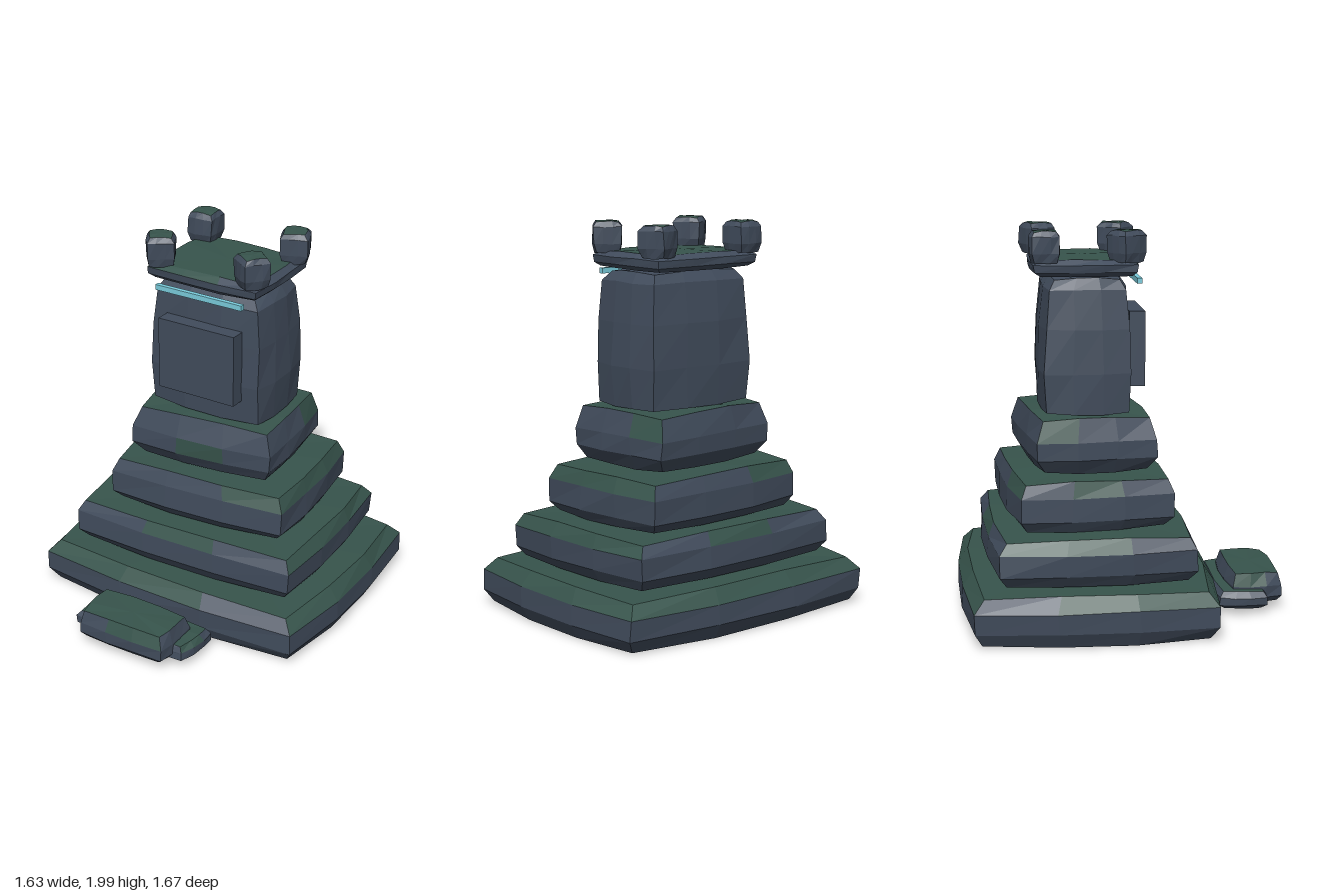
import * as THREE from 'three';

const mat = (name, color) => {
  const m = new THREE.MeshStandardMaterial({ color });
  m.name = name;
  m.flatShading = true;
  return m;
};

// Small repeatable wobble in the range -1..1
const wobble = (n) => {
  const s = Math.sin(n * 127.1 + 11.7) * 43758.5453;
  return (s - Math.floor(s)) * 2 - 1;
};

// Ring of 12 points: corners front-left, front-right, back-right, back-left,
// with every side divided in three and bowed outward
function outline(corners, bow) {
  const pts = [];
  corners.forEach(([x, z], i) => {
    const [nx, nz] = corners[(i + 1) % 4];
    const len = Math.hypot(nx - x, nz - z);
    for (let k = 0; k < 3; k++) {
      const t = k / 3, b = k ? bow : 0;
      pts.push([x + (nx - x) * t - (nz - z) / len * b, z + (nz - z) * t + (nx - x) / len * b]);
    }
  });
  return pts;
}

// Rough stone: stacked rings [y, inset]; moss covers the top and the marked
// faces ('m') of the uppermost band, running front, right, back, left
function stoneGeometry({ corners, bow = 0.03, levels, mask = '............', patches = [], sag = 0.012, rough = 0.006, seed = 1, mossTop = true }) {
  const ring = outline(corners, bow), n = ring.length;
  const cx = corners.reduce((s, c) => s + c[0], 0) / 4;
  const cz = corners.reduce((s, c) => s + c[1], 0) / 4;
  const hx = Math.max(...corners.map((c) => Math.abs(c[0] - cx)));
  const hz = Math.max(...corners.map((c) => Math.abs(c[1] - cz)));
  const last = levels.length - 1;
  const rows = levels.map(([y, inset], l) => ring.map(([x, z], i) => {
    const s = seed * 91 + l * 17 + i;
    const drop = i % 3 ? 0 : sag * (l === last ? -1 : l === 0 ? 0.6 : 0);
    return [
      cx + (x - cx) * (1 - inset / hx) + wobble(s) * rough,
      y + drop + wobble(s + 300) * rough * 0.6,
      cz + (z - cz) * (1 - inset / hz) + wobble(s + 600) * rough,
    ];
  }));
  const stone = [], moss = [];
  for (let l = 0; l < last; l++) {
    for (let i = 0; i < n; i++) {
      const j = (i + 1) % n;
      const green = (l === last - 1 && mask[i] === 'm') || patches.some(([pl, pi]) => pl === l && pi === i);
      const [a, b, c, d] = [rows[l][i], rows[l][j], rows[l + 1][j], rows[l + 1][i]];
      (green ? moss : stone).push(...a, ...b, ...c, ...a, ...c, ...d);
    }
  }
  for (let i = 0; i < n; i++) {
    const j = (i + 1) % n;
    (mossTop ? moss : stone).push(...rows[last][i], ...rows[last][j], cx, levels[last][0] + 0.002, cz);
    stone.push(...rows[0][j], ...rows[0][i], cx, levels[0][0], cz);
  }
  const geo = new THREE.BufferGeometry();
  geo.setAttribute('position', new THREE.Float32BufferAttribute([...stone, ...moss], 3));
  geo.addGroup(0, stone.length / 3, 0);
  geo.addGroup(stone.length / 3, moss.length / 3, 1);
  geo.computeVertexNormals();
  return geo;
}

export function createModel() {
  const model = new THREE.Group();
  model.name = 'steppedShrine';
  const stone = mat('slateStone', 0x414c5c);
  const moss = mat('mossGreen', 0x37544c);
  const glow = mat('paleCyan', 0x7accdc);

  const add = (name, geo, material, x = 0, y = 0, z = 0) => {
    const mesh = new THREE.Mesh(geo, material);
    mesh.name = name;
    mesh.position.set(x, y, z);
    model.add(mesh);
    return mesh;
  };
  const addStone = (name, spec) => add(name, stoneGeometry(spec), [stone, moss]);

  // Four stepped tiers
  addStone('baseTier', {
    corners: [[-0.755, 0.42], [0.77, 0.42], [0.75, -0.795], [-0.765, -0.78]], bow: 0.046,
    levels: [[0.012, 0.04], [0.085, 0], [0.19, 0], [0.265, 0.05]], mask: 'mm.mmmmmm.mm', seed: 1,
  });
  addStone('secondTier', {
    corners: [[-0.615, 0.325], [0.665, 0.275], [0.61, -0.7], [-0.645, -0.65]], bow: 0.028,
    levels: [[0.27, 0.04], [0.33, 0], [0.44, 0], [0.512, 0.035]], mask: '.m.mmm.m.mm.', seed: 2,
  });
  addStone('thirdTier', {
    corners: [[-0.45, 0.23], [0.54, 0.145], [0.475, -0.625], [-0.515, -0.54]], bow: 0.022,
    levels: [[0.515, 0.04], [0.57, 0], [0.69, 0], [0.77, 0.03]], mask: '..mmmm..m.m.', seed: 3,
  });
  addStone('fourthTier', {
    corners: [[-0.36, 0.155], [0.425, 0.075], [0.36, -0.535], [-0.41, -0.45]], bow: 0.015,
    levels: [[0.785, 0.05], [0.86, 0], [0.95, 0], [1.07, 0.035]], mask: '.....m...m..', patches: [[1, 1]], seed: 4,
  });

  // Shrine body
  addStone('shrineBody', {
    corners: [[-0.325, 0.03], [0.325, 0.03], [0.315, -0.41], [-0.32, -0.405]], bow: 0.018,
    levels: [[1.075, 0.01], [1.28, 0], [1.5, 0.008], [1.7, 0.025], [1.755, 0.055]], seed: 5, mossTop: false,
  });
  add('frontPanel', new THREE.BoxGeometry(0.45, 0.38, 0.08), stone, 0.003, 1.39, 0.07);
  add('glowStrip', new THREE.BoxGeometry(0.51, 0.028, 0.025), glow, 0.003, 1.735, 0.078);

  // Roof slab
  addStone('roofSlab', {
    corners: [[-0.32, 0.065], [0.325, 0.06], [0.31, -0.45], [-0.32, -0.455]], bow: 0.012,
    levels: [[1.762, 0.03], [1.785, 0.005], [1.822, 0], [1.848, 0.035]], mask: 'mm..........', sag: 0.006, rough: 0.004, seed: 6,
  });

  // Corner posts on the roof
  [[-0.27, 0.01, 0.6], [0.27, 0.01, -0.6], [0.272, -0.4, 0.4], [-0.268, -0.4, 0.06]].forEach(([x, z, turn], i) => {
    const h = 0.07;
    const geo = stoneGeometry({
      corners: [[-h, h], [h, h], [h, -h], [-h, -h]], bow: 0.004,
      levels: [[1.832, 0.012], [1.88, 0], [1.965, 0], [1.992, 0.015]], sag: 0.005, rough: 0.004, seed: 7 + i,
    });
    const post = add('cornerPost', geo, [stone, moss], x, 0, z);
    post.rotation.y = turn;
  });

  // Two loose step stones in front
  addStone('lowerStep', {
    corners: [[-0.33, 0.735], [0.325, 0.735], [0.345, 0.49], [-0.305, 0.49]], bow: 0.012,
    levels: [[0.035, 0.03], [0.06, 0], [0.1, 0], [0.132, 0.02]], mask: '...mm.......', sag: 0.005, rough: 0.005, seed: 12,
  });
  addStone('upperStep', {
    corners: [[-0.24, 0.825], [0.255, 0.82], [0.26, 0.56], [-0.26, 0.565]], bow: 0.012,
    levels: [[0.05, 0.025], [0.08, 0], [0.14, 0], [0.21, 0.02]], mask: '.mm......mm.', sag: 0.006, rough: 0.005, seed: 13,
  });
  return model;
}
